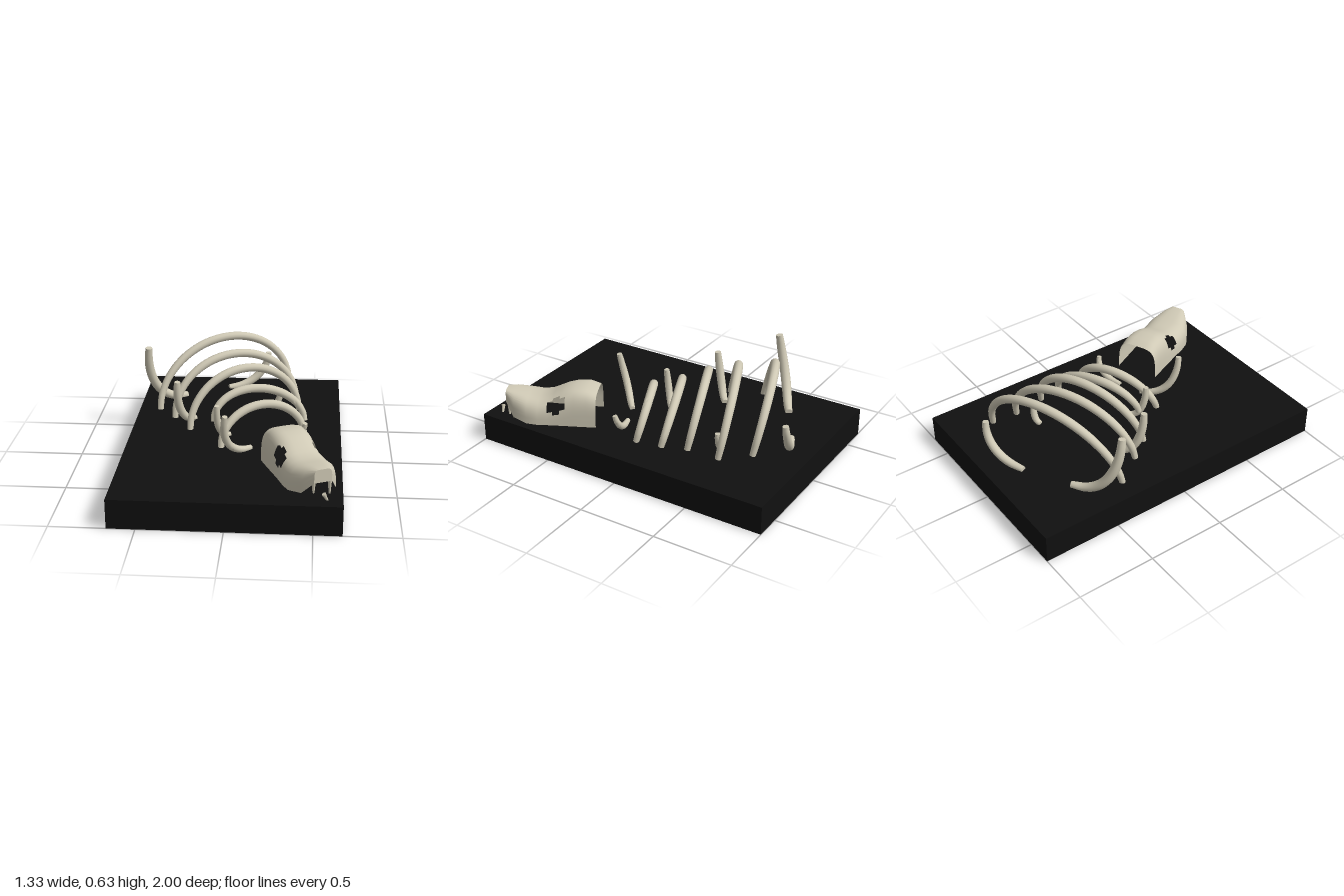
import * as THREE from 'three';
import { toCreasedNormals } from 'three/addons/utils/BufferGeometryUtils.js';

const GROUND = 0.18;

// Tapered tube with flat closed ends, thickest in the middle.
function taperedTube(points, rMid, rEnd) {
  const n = 40, sides = 12;
  const curve = new THREE.CatmullRomCurve3(points);
  const geo = new THREE.TubeGeometry(curve, n, 1, sides);
  const pos = geo.attributes.position;
  const v = new THREE.Vector3(), offset = new THREE.Vector3();
  for (let i = 0; i <= n; i++) {
    const centre = curve.getPointAt(i / n);
    // the outermost rings collapse to form the caps
    const t = i === 1 ? 0 : i === n - 1 ? 1 : i / n;
    const place = curve.getPointAt(t);
    const r = i === 0 || i === n ? 0 : rEnd + (rMid - rEnd) * Math.sin(Math.PI * t) ** 0.7;
    for (let j = 0; j <= sides; j++) {
      const k = i * (sides + 1) + j;
      offset.fromBufferAttribute(pos, k).sub(centre).multiplyScalar(r);
      v.copy(place).add(offset);
      pos.setXYZ(k, v.x, v.y, v.z);
    }
  }
  geo.deleteAttribute('uv');
  return toCreasedNormals(geo, 0.8);
}

// Full rib arch between two ends [x, y, z], bowed towards the back.
function ribGeometry(a, b, peak, bow) {
  const points = [];
  const left = new THREE.Vector3(...a), right = new THREE.Vector3(...b);
  const rise = peak - 0.027 - (left.y + right.y) / 2;
  for (let i = 0; i <= 16; i++) {
    const angle = Math.PI * i / 16, s = Math.sin(angle);
    const p = left.clone().lerp(right, (1 - Math.cos(angle)) / 2);
    p.y += rise * s;
    p.z -= bow * s;
    p.x -= bow * 0.3 * s;
    points.push(p);
  }
  return taperedTube(points, 0.028, 0.019);
}

// Broken rib that leaves the ground flat and curls upright.
function stubGeometry(a, b, bow, r) {
  const base = new THREE.Vector3(...a), tip = new THREE.Vector3(...b);
  const dx = tip.x - base.x, dz = tip.z - base.z, len = Math.hypot(dx, dz);
  const side = dx > 0 ? -1 : 1;
  const points = [];
  for (let i = 0; i <= 8; i++) {
    const angle = Math.PI / 2 * i / 8;
    const s = Math.sin(angle) ** 0.85, c = Math.sin(2 * angle) * bow;
    points.push(new THREE.Vector3(
      base.x + dx * s - side * dz / len * c,
      base.y + (tip.y - base.y) * (1 - Math.cos(angle)),
      base.z + dz * s + side * dx / len * c));
  }
  return taperedTube(points, r, r * 0.72);
}

// Hollow skull shell: arched sections with an open back and underside.
function skullGeometry() {
  // [distance from back, half width, top, bottom, roundness]
  const sections = [
    [0, 0.137, 0.385, 0.18, 0.5],
    [0.06, 0.139, 0.408, 0.18, 0.52],
    [0.14, 0.141, 0.407, 0.18, 0.58],
    [0.195, 0.142, 0.395, 0.18, 0.66],
    [0.23, 0.143, 0.38, 0.18, 0.7],
    [0.275, 0.144, 0.358, 0.18, 0.7],
    [0.31, 0.146, 0.342, 0.18, 0.7],
    [0.37, 0.15, 0.331, 0.18, 0.68],
    [0.44, 0.148, 0.338, 0.185, 0.66],
    [0.53, 0.108, 0.355, 0.2, 0.62],
    [0.587, 0.055, 0.355, 0.275, 0.4],
  ];
  // eye socket gaps: section index -> range of segments left out
  const sockets = { 3: [3, 7], 4: [2, 8], 5: [3, 7] };
  const segs = 24, row = segs + 1, positions = [], index = [];
  for (const [z, w, top, bottom, e] of sections) {
    for (let j = 0; j <= segs; j++) {
      const angle = Math.PI * j / segs;
      const c = Math.cos(angle), s = Math.max(0, Math.sin(angle));
      positions.push(w * Math.sign(c) * Math.abs(c) ** e,
        bottom + (top - bottom) * s ** e, z);
    }
  }
  for (let i = 0; i < sections.length - 1; i++) {
    for (let j = 0; j < segs; j++) {
      const m = Math.min(j, segs - 1 - j), gap = sockets[i];
      if (gap && m >= gap[0] && m < gap[1]) continue;
      const a = i * row + j, b = a + row;
      index.push(a, b, a + 1, b, b + 1, a + 1);
    }
  }
  // nose plate closing the front section
  const last = (sections.length - 1) * row;
  for (let j = 1; j < segs; j++) index.push(last, last + j, last + j + 1);
  const geo = new THREE.BufferGeometry();
  geo.setAttribute('position', new THREE.Float32BufferAttribute(positions, 3));
  geo.setIndex(index);
  return toCreasedNormals(geo, 0.45);
}

export function createModel() {
  const model = new THREE.Group();
  const bone = new THREE.MeshStandardMaterial({ color: 0xcfc9b5, side: THREE.DoubleSide });
  bone.name = 'bone';
  const black = new THREE.MeshStandardMaterial({ color: 0x101010 });
  black.name = 'black base';
  const add = (parent, name, geo, mat = bone) => {
    const mesh = new THREE.Mesh(geo, mat);
    mesh.name = name;
    parent.add(mesh);
    return mesh;
  };

  // Slab
  add(model, 'base', new THREE.BoxGeometry(1.333, GROUND, 2), black).position.y = GROUND / 2;

  // Complete ribs: left end, right end, peak height, bow
  const ribs = new THREE.Group();
  ribs.name = 'ribs';
  model.add(ribs);
  [
    [[-0.53, 0.17, -0.37], [0.32, 0.26, -0.75], 0.63, 0.085],
    [[-0.41, 0.195, -0.19], [0.375, 0.2, -0.55], 0.587, 0.07],
    [[-0.295, 0.17, -0.04], [0.395, 0.21, -0.35], 0.548, 0.07],
    [[-0.135, 0.27, 0.04], [0.435, 0.2, -0.19], 0.465, 0.055],
    [[-0.075, 0.17, 0.23], [0.435, 0.18, -0.01], 0.425, 0.06],
  ].forEach((r, i) => add(ribs, 'rib' + (i + 1), ribGeometry(...r)));

  // Broken ribs: foot, tip, bow, radius
  const stubs = new THREE.Group();
  stubs.name = 'brokenRibs';
  model.add(stubs);
  [
    [[-0.38, 0.185, -0.635], [-0.607, 0.588, -0.43], 0.035, 0.031],
    [[-0.1, 0.185, -0.795], [0.17, 0.42, -0.88], 0.015, 0.027],
    [[-0.28, 0.185, -0.225], [-0.382, 0.475, -0.105], 0.015, 0.027],
    [[-0.035, 0.185, 0.035], [-0.11, 0.405, 0.115], 0.01, 0.023],
    [[0.11, 0.185, 0.235], [-0.035, 0.465, 0.43], 0.03, 0.024],
    [[0.25, 0.185, 0.175], [0.44, 0.315, 0.14], 0.015, 0.021],
    [[0.21, 0.185, -0.475], [0.27, 0.3, -0.485], 0.005, 0.022],
  ].forEach((s, i) => add(stubs, 'brokenRib' + (i + 1), stubGeometry(...s)));

  // Skull, turned towards the front corner
  const skull = new THREE.Group();
  skull.name = 'skull';
  skull.position.set(0.305, 0, 0.3525);
  skull.rotation.y = 0.431;
  model.add(skull);
  add(skull, 'skullShell', skullGeometry());

  // Front teeth, one of them fallen forward
  for (const [x, y, z, h, tilt] of [
    [-0.05, 0.245, 0.57, 0.07, 0], [0.05, 0.235, 0.57, 0.09, 0],
    [0, 0.2, 0.626, 0.05, 0.5],
  ]) {
    const tooth = add(skull, 'tooth', new THREE.CylinderGeometry(0.013, 0.006, h, 8));
    tooth.position.set(x, y, z);
    tooth.rotation.z = tilt;
  }
  return model;
}
